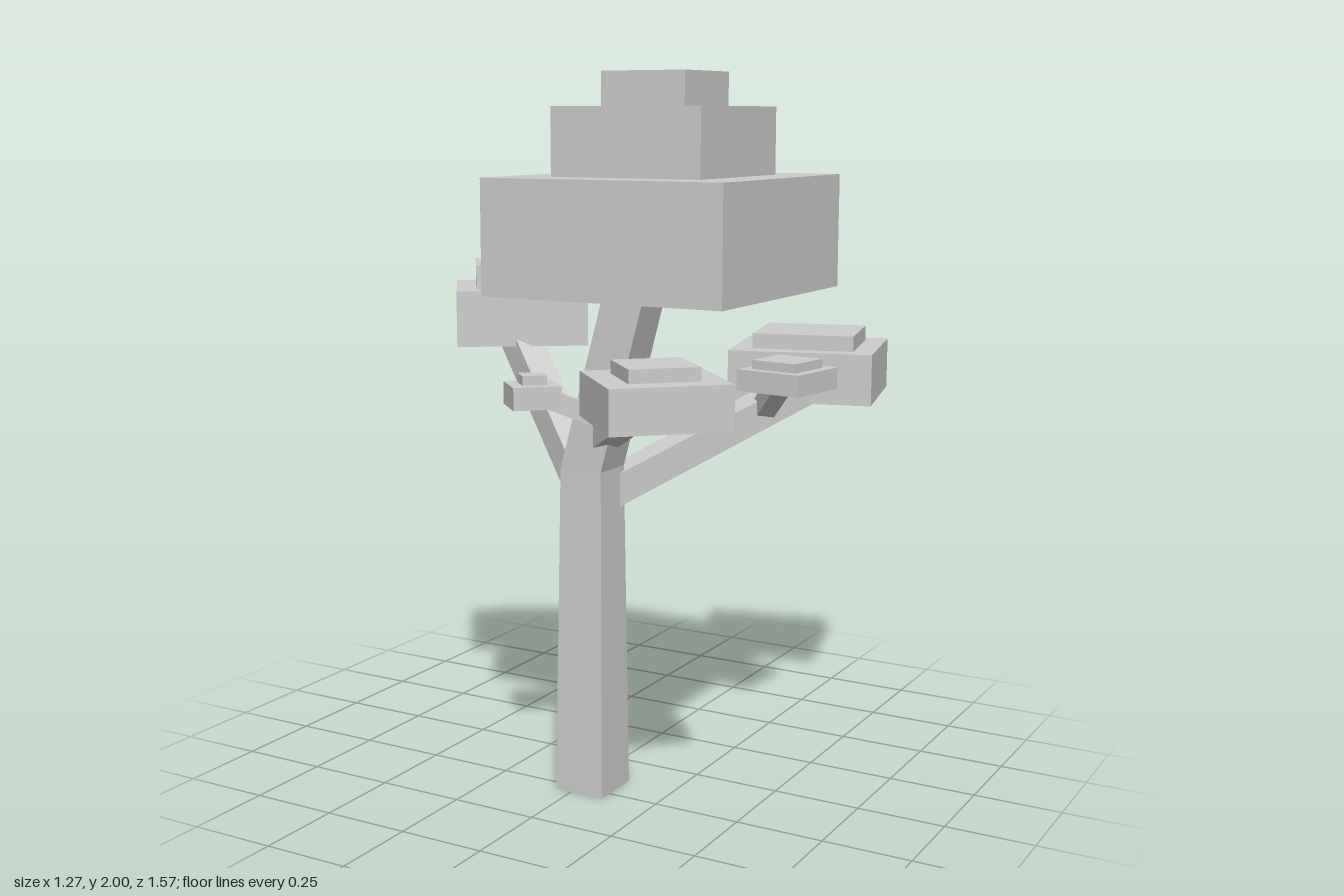
import * as THREE from 'three';

const material = new THREE.MeshStandardMaterial({ color: 0xcccccc, flatShading: true });

// Square beam between two points, kept level sideways
function branch(name, from, to, size) {
  const a = new THREE.Vector3(...from);
  const b = new THREE.Vector3(...to);
  const mesh = new THREE.Mesh(new THREE.BoxGeometry(size, size, a.distanceTo(b)), material);
  mesh.name = name;
  mesh.position.copy(a).lerp(b, 0.5);
  mesh.lookAt(b);
  return mesh;
}

// Stack of shrinking blocks; each tier is [width, depth, height]
function canopy(name, [x, y, z], angle, tiers) {
  const group = new THREE.Group();
  group.name = name;
  group.position.set(x, y, z);
  group.rotation.y = angle;
  let base = 0;
  tiers.forEach(([w, d, h], i) => {
    const tier = new THREE.Mesh(new THREE.BoxGeometry(w, h, d), material);
    tier.name = `${name}Tier${i + 1}`;
    tier.position.y = base + h / 2;
    base += h;
    group.add(tier);
  });
  return group;
}

// Square trunk: tapers upward, then leans to the left
function trunk() {
  const rings = [
    { x: 0.025, y: 0, half: 0.076 },
    { x: 0.027, y: 0.93, half: 0.064 },
    { x: 0.172, y: 1.46, half: 0.062 },
  ];
  const geometry = new THREE.BoxGeometry(2, 2, 2, 1, 2, 1);
  const p = geometry.attributes.position;
  for (let i = 0; i < p.count; i++) {
    const r = rings[Math.round(p.getY(i)) + 1];
    p.setXYZ(i, r.x + p.getX(i) * r.half, r.y, 0.215 + p.getZ(i) * r.half);
  }
  geometry.computeVertexNormals();
  const mesh = new THREE.Mesh(geometry, material);
  mesh.name = 'trunk';
  return mesh;
}

export function createModel() {
  const tree = new THREE.Group();
  tree.name = 'tree';
  tree.add(
    trunk(),
    // Main limbs
    branch('rightBranch', [0.02, 0.85, 0.22], [-0.33, 1.25, 0.03], 0.085),
    branch('backBranch', [0.03, 0.845, 0.19], [0.4, 1.105, -0.4], 0.088),
    branch('frontBranch', [0.06, 1.02, 0.22], [0.38, 1.19, 0.52], 0.075),
    // Twigs growing off the limbs
    branch('backTwig', [0.32, 1.04, -0.26], [0.46, 1.165, -0.09], 0.055),
    branch('frontTwig', [0.19, 1.08, 0.34], [0.03, 1.165, 0.48], 0.05),
    // Foliage
    canopy('crown', [0.238, 1.425, 0.19], 0,
      [[0.695, 0.71, 0.305], [0.435, 0.44, 0.18], [0.245, 0.25, 0.09]]),
    canopy('rightFoliage', [-0.383, 1.23, -0.06], 0.606,
      [[0.377, 0.351, 0.16], [0.262, 0.244, 0.07]]),
    canopy('backFoliage', [0.343, 1.055, -0.545], 0.255,
      [[0.424, 0.397, 0.15], [0.3, 0.28, 0.045]]),
    canopy('frontFoliage', [0.415, 1.14, 0.565], 0.765,
      [[0.311, 0.308, 0.115], [0.182, 0.18, 0.035]]),
    canopy('backTwigFoliage', [0.478, 1.14, -0.08], -0.15,
      [[0.2, 0.2, 0.06], [0.14, 0.14, 0.025]]),
    canopy('frontTwigFoliage', [0.015, 1.14, 0.5], Math.PI / 4,
      [[0.127, 0.127, 0.06], [0.064, 0.064, 0.025]]),
  );
  return tree;
}
